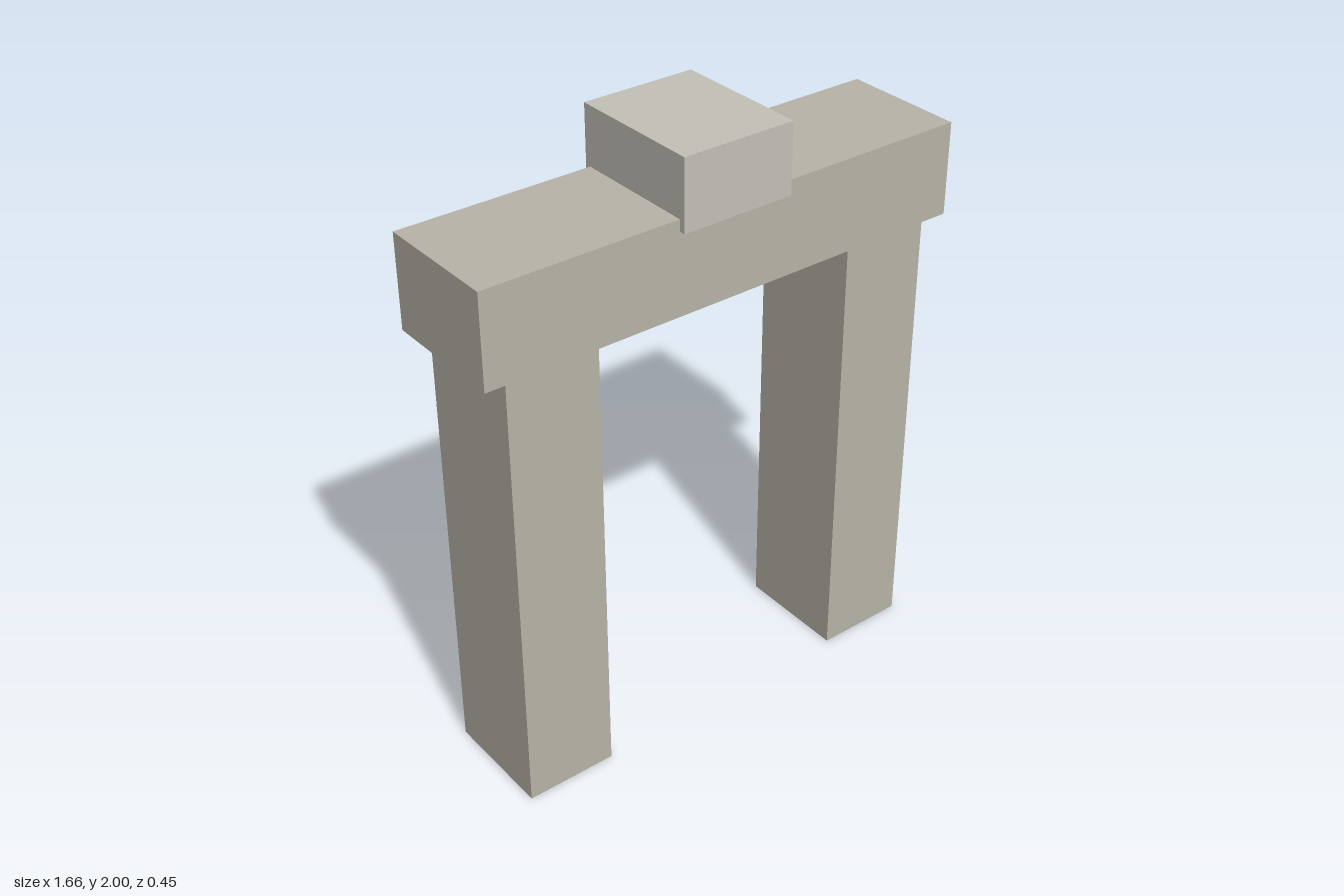
import * as THREE from 'three';

const stone = new THREE.MeshStandardMaterial({ color: 0xb8b4a9, flatShading: true });
const paleStone = new THREE.MeshStandardMaterial({ color: 0xc4c1b8, flatShading: true });

// A stone block resting on height y
function block(name, width, height, depth, x, y, material) {
  const mesh = new THREE.Mesh(new THREE.BoxGeometry(width, height, depth), material);
  mesh.name = name;
  mesh.position.set(x, y + height / 2, 0);
  return mesh;
}

export function createModel() {
  const arch = new THREE.Group();
  arch.name = 'stoneArch';

  // Two uprights
  for (const [name, side] of [['leftPillar', 1], ['rightPillar', -1]]) {
    arch.add(block(name, 0.302, 1.509, 0.377, side * 0.604, 0, stone));
  }

  // Crossbeam overhanging the pillars
  arch.add(block('lintel', 1.66, 0.302, 0.413, 0, 1.509, stone));

  // Capping block, sunk slightly into the lintel
  arch.add(block('keystone', 0.377, 0.226, 0.453, 0, 1.774, paleStone));

  return arch;
}
